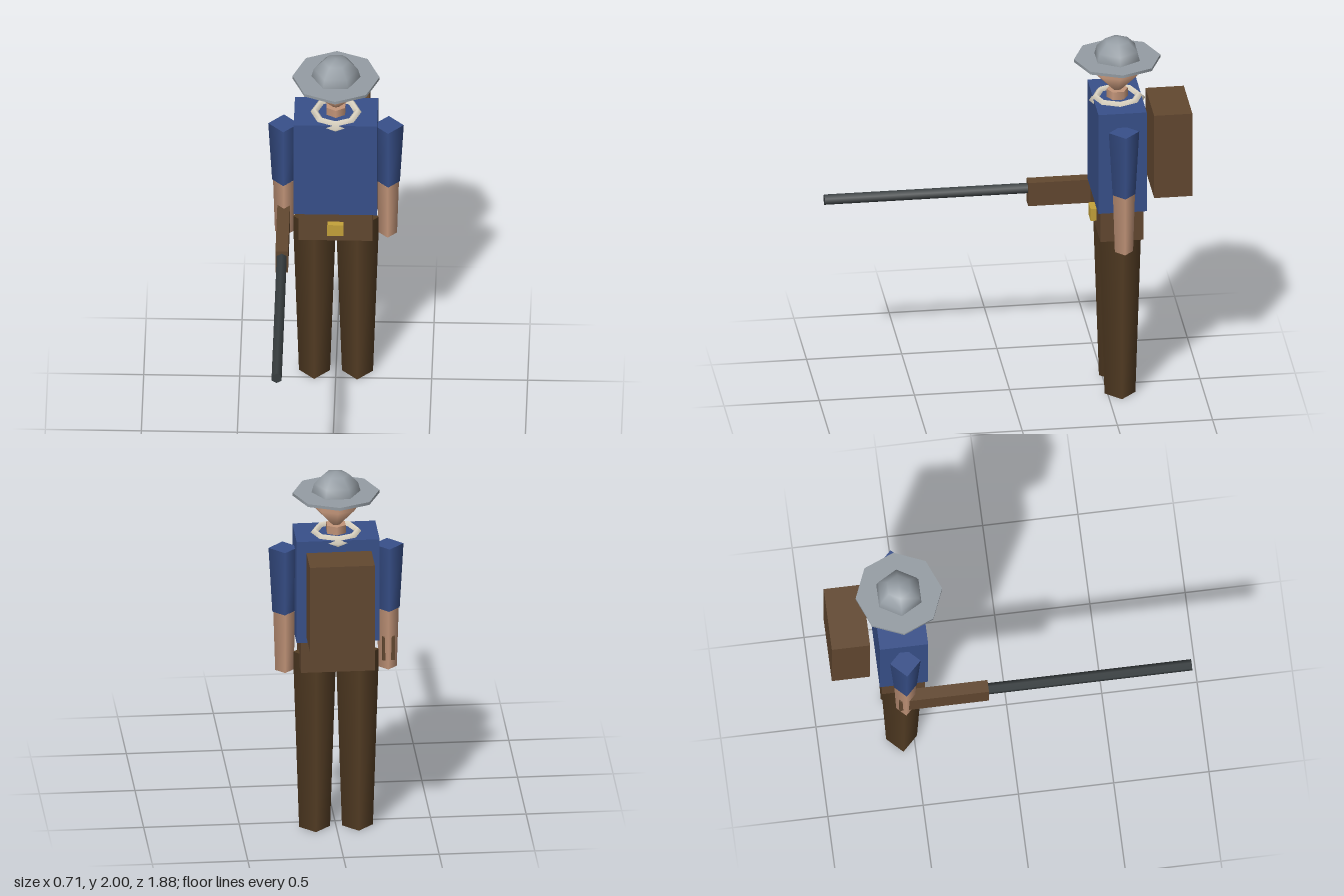
import * as THREE from 'three';

const material = (name, color) => {
  const m = new THREE.MeshStandardMaterial({ color });
  m.name = name;
  return m;
};

export function createModel() {
  const blue = material('blue cloth', 0x38508a);
  const skin = material('skin', 0xc4967a);
  const trouser = material('dark brown cloth', 0x543d24);
  const leather = material('brown leather', 0x624830);
  const steel = material('grey steel', 0x959da4);
  const iron = material('dark iron', 0x383e40);
  const gold = material('gold', 0xc4a23a);
  const cream = material('cream', 0xe2dac8);

  const model = new THREE.Group();
  const Z = -0.565; // depth of the figure's axis

  const add = (name, geometry, mat, x, y, z) => {
    const mesh = new THREE.Mesh(geometry, mat);
    mesh.name = name;
    mesh.position.set(x, y, z);
    model.add(mesh);
    return mesh;
  };
  // Box given by its limits on each axis
  const box = (name, mat, [x0, x1], [y0, y1], [z0, z1]) =>
    add(name, new THREE.BoxGeometry(x1 - x0, y1 - y0, z1 - z0), mat,
      (x0 + x1) / 2, (y0 + y1) / 2, (z0 + z1) / 2);
  // Upright tapered cylinder between two heights
  const column = (name, mat, x, y0, y1, rBottom, rTop, sides) =>
    add(name, new THREE.CylinderGeometry(rTop, rBottom, y1 - y0, sides), mat, x, (y0 + y1) / 2, Z);

  // Body, belt and pack
  box('torso', blue, [-0.217, 0.217], [1.09, 1.66], [-0.692, -0.438]);
  box('belt', leather, [-0.193, 0.193], [0.915, 1.09], [-0.678, -0.452]);
  box('beltBuckle', gold, [-0.042, 0.042], [0.967, 1.035], [-0.46, -0.42]);
  box('backpack', leather, [-0.17, 0.17], [1.14, 1.615], [-0.938, -0.737]);

  // Four-sided limbs
  for (const [side, s] of [['left', 1], ['right', -1]]) {
    column(side + 'Leg', trouser, s * 0.112, 0, 0.99, 0.081, 0.113, 4);
    column(side + 'Sleeve', blue, s * 0.273, 1.22, 1.58, 0.06, 0.08, 4);
    column(side + 'Forearm', skin, s * 0.27, 0.89, 1.22, 0.048, 0.058, 4);
  }

  // Neck, collar and head
  column('neck', skin, 0, 1.64, 1.705, 0.056, 0.056, 6);
  const collar = add('collar', new THREE.TorusGeometry(0.113, 0.035, 4, 8), cream, 0, 1.645, Z);
  collar.rotation.x = Math.PI / 2;
  const head = add('head', new THREE.SphereGeometry(0.13, 8, 2), skin, 0, 1.81, Z);
  head.scale.x = 0.94;

  // Brimmed helmet
  column('helmetBrim', steel, 0, 1.87, 1.886, 0.227, 0.227, 8);
  add('helmetDome', new THREE.SphereGeometry(0.133, 6, 3, 0, Math.PI * 2, 0, Math.PI / 2),
    steel, 0, 1.867, Z);

  // Long gun held forward in the right hand
  box('gunStock', leather, [-0.305, -0.239], [0.937, 1.07], [-0.6, -0.13]);
  const barrel = add('gunBarrel', new THREE.CylinderGeometry(0.03, 0.03, 1.085, 6), iron,
    -0.272, 1.027, 0.395);
  barrel.rotation.x = Math.PI / 2;

  return model;
}
